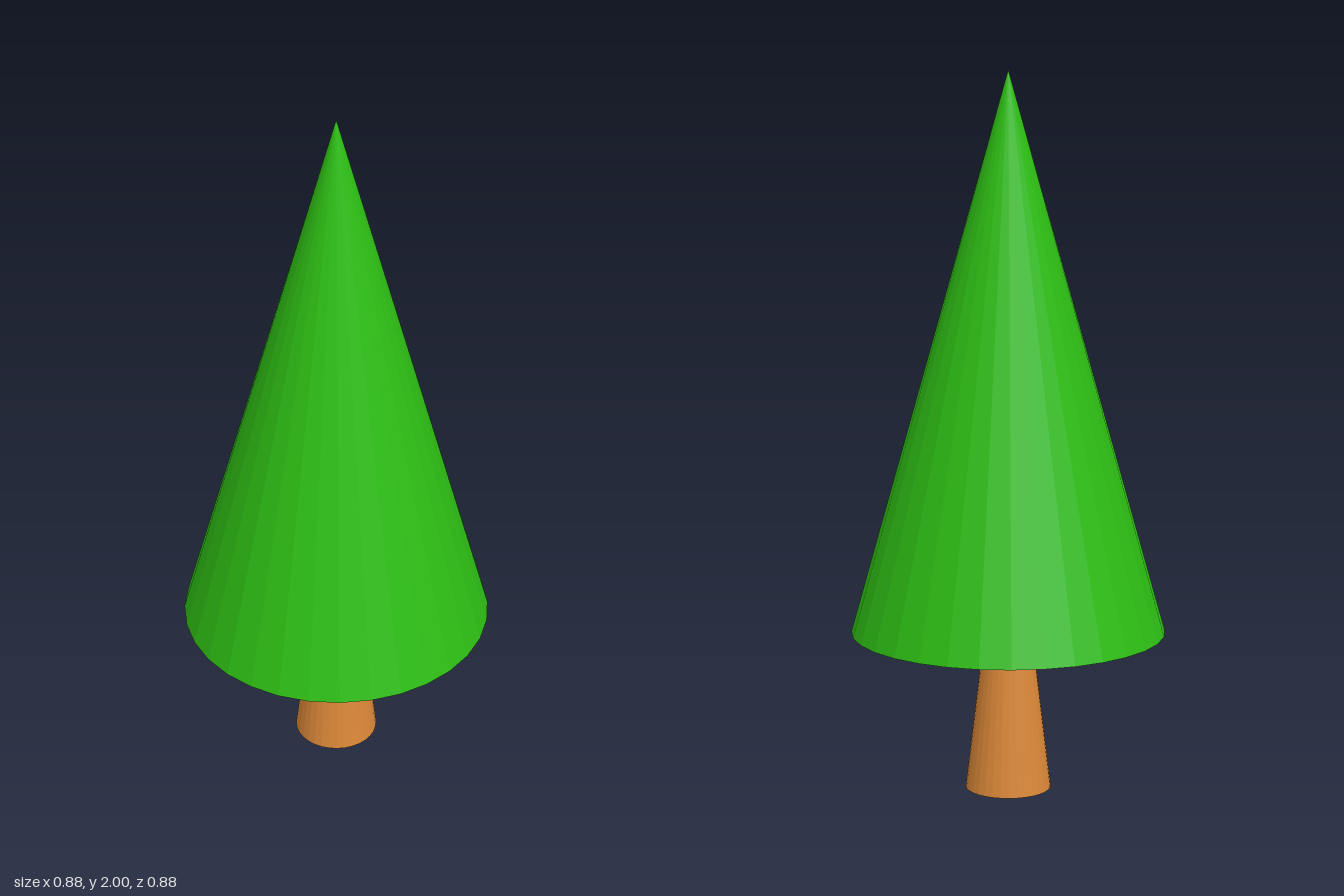
import * as THREE from 'three';

const SIDES = 32;

// Upright faceted frustum standing on height y
function addFrustum(group, name, color, topRadius, bottomRadius, y, height) {
  const geometry = new THREE.CylinderGeometry(topRadius, bottomRadius, height, SIDES);
  geometry.translate(0, y + height / 2, 0);
  const mesh = new THREE.Mesh(geometry, new THREE.MeshStandardMaterial({ color, flatShading: true }));
  mesh.name = name;
  group.add(mesh);
}

export function createModel() {
  const tree = new THREE.Group();
  tree.name = 'tree';

  // Tapered trunk, its top sunk slightly into the foliage
  addFrustum(tree, 'trunk', 0xdb8838, 0.06, 0.12, 0, 0.5);

  // Single cone of foliage, closed underneath
  addFrustum(tree, 'foliage', 0x2dbe14, 0, 0.438, 0.45, 1.55);

  return tree;
}
